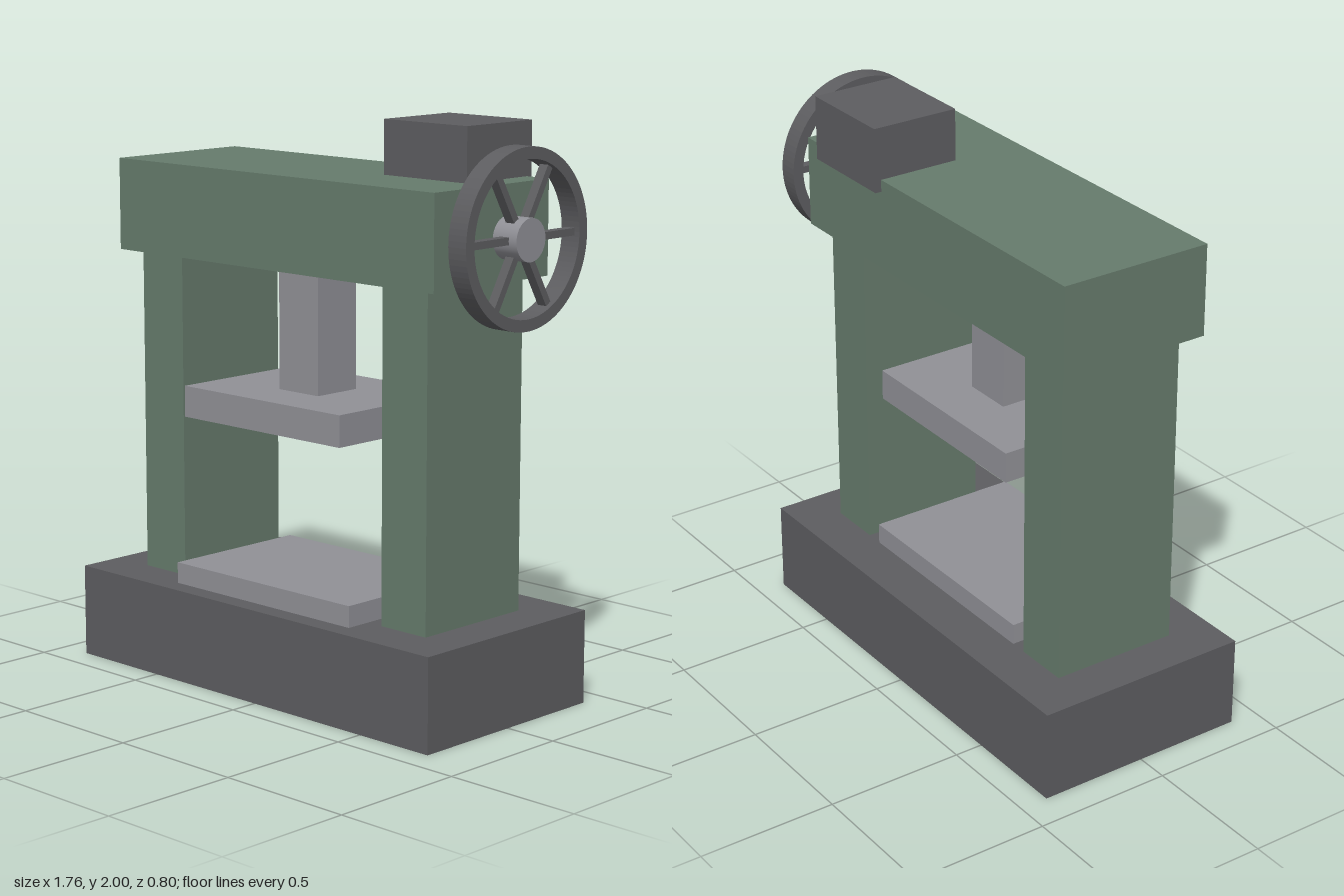
import * as THREE from 'three';

const material = (name, color) => {
  const m = new THREE.MeshStandardMaterial({ color });
  m.name = name;
  return m;
};

export function createModel() {
  const green = material('greenPaint', 0x667b6c);
  const dark = material('darkIron', 0x5d5d60);
  const steel = material('paleSteel', 0x909096);

  const press = new THREE.Group();
  press.name = 'mechanicalPress';

  const add = (name, geometry, mat, parent = press) => {
    const mesh = new THREE.Mesh(geometry, mat);
    mesh.name = name;
    parent.add(mesh);
    return mesh;
  };
  // Box given by its extents on each axis
  const block = (name, mat, [x0, x1], [y0, y1], [z0, z1]) =>
    add(name, new THREE.BoxGeometry(x1 - x0, y1 - y0, z1 - z0), mat)
      .position.set((x0 + x1) / 2, (y0 + y1) / 2, (z0 + z1) / 2);

  // Frame
  block('base', dark, [-0.882, 0.805], [0, 0.33], [-0.398, 0.398]);
  block('rightColumn', green, [-0.722, -0.52], [0.33, 1.49], [-0.235, 0.235]);
  block('leftColumn', green, [0.445, 0.645], [0.33, 1.49], [-0.235, 0.235]);
  block('crown', green, [-0.79, 0.713], [1.488, 1.813], [-0.282, 0.282]);

  // Pressing parts
  block('bed', steel, [-0.46, 0.382], [0.33, 0.405], [-0.235, 0.327]);
  block('slide', steel, [-0.413, 0.338], [0.938, 1.048], [-0.235, 0.327]);
  block('ram', steel, [-0.132, 0.055], [1.048, 1.49], [-0.047, 0.14]);

  // Motor housing, overhanging the back of the crown
  block('motor', dark, [0.247, 0.618], [1.77, 2], [-0.305, 0.02]);

  // Flywheel, built around its own y axis and turned to face sideways
  const wheel = new THREE.Group();
  wheel.name = 'flywheel';
  wheel.position.set(0.827, 1.65, 0);
  wheel.rotation.z = -Math.PI / 2;
  press.add(wheel);

  const rim = new THREE.Shape().absarc(0, 0, 0.3, 0, Math.PI * 2);
  rim.holes.push(new THREE.Path().absarc(0, 0, 0.26, 0, Math.PI * 2, true));
  const rimGeometry = new THREE.ExtrudeGeometry(rim, {
    depth: 0.075, bevelEnabled: false, curveSegments: 48,
  });
  rimGeometry.translate(0, 0, -0.0375).rotateX(Math.PI / 2);
  add('rim', rimGeometry, dark, wheel);

  add('hub', new THREE.CylinderGeometry(0.072, 0.072, 0.1, 32), steel, wheel);

  for (let i = 0; i < 6; i++) {
    const spoke = new THREE.BoxGeometry(0.215, 0.035, 0.025);
    spoke.translate(0.16, 0, 0).rotateY(Math.PI / 2 + (i * Math.PI) / 3);
    add('spoke', spoke, dark, wheel);
  }

  return press;
}
